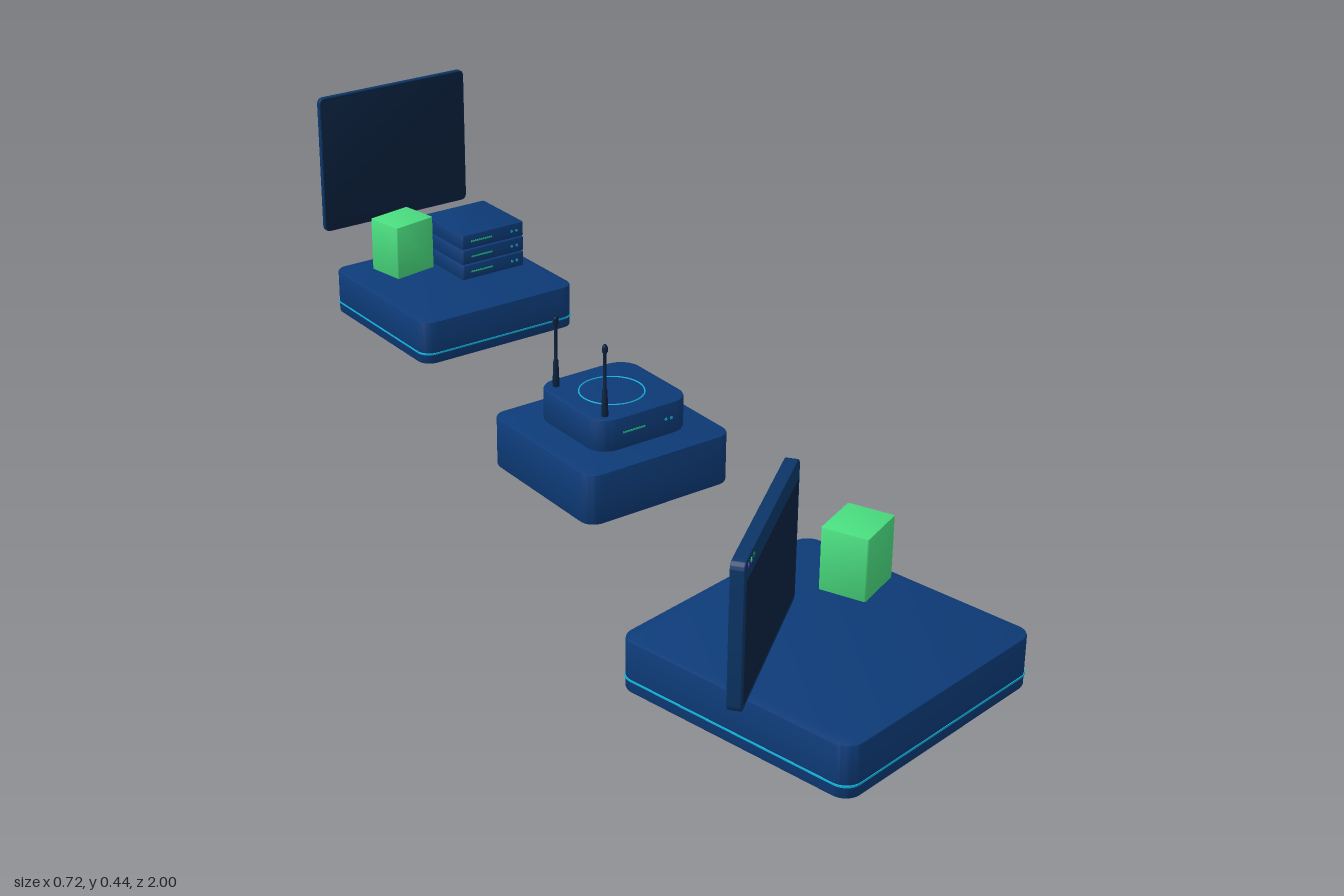
import * as THREE from 'three';
import { toCreasedNormals } from 'three/addons/utils/BufferGeometryUtils.js';

const paint = (color) => new THREE.MeshStandardMaterial({ color });
const blue = paint(0x0d3b78), navy = paint(0x0a2240), screenBlue = paint(0x0b3566);
const green = paint(0x4ade80), cyan = paint(0x12b4dc), led = paint(0x22c58a);
const purple = paint(0x7a22b8), darkGreen = paint(0x15803d);

// Rounded plate facing +z, centred on the origin
function plateGeometry(w, h, t, r, bevel = 0.002) {
  const x = w / 2 - bevel, y = h / 2 - bevel, s = new THREE.Shape();
  s.absarc(x - r, y - r, r, 0, Math.PI / 2);
  s.absarc(-x + r, y - r, r, Math.PI / 2, Math.PI);
  s.absarc(-x + r, -y + r, r, Math.PI, Math.PI * 1.5);
  s.absarc(x - r, -y + r, r, Math.PI * 1.5, Math.PI * 2);
  s.closePath();
  const g = new THREE.ExtrudeGeometry(s, {
    depth: t - 2 * bevel, bevelSize: bevel, bevelThickness: bevel, bevelSegments: 2, curveSegments: 6,
  });
  g.translate(0, 0, -t / 2 + bevel);
  return toCreasedNormals(g, 0.6);
}

function add(parent, name, geometry, material, x = 0, y = 0, z = 0) {
  const m = new THREE.Mesh(geometry, material);
  m.name = name;
  m.position.set(x, y, z);
  parent.add(m);
  return m;
}

// Rounded block lying flat, standing on height y
function slab(parent, name, w, h, d, r, material, x, y, z, bevel) {
  return add(parent, name, plateGeometry(w, d, h, r, bevel).rotateX(-Math.PI / 2), material, x, y + h / 2, z);
}

function station(parent, name, x, z, turn, size, height, stripe) {
  const g = new THREE.Group();
  g.name = name;
  g.position.set(x, 0, z);
  g.rotation.y = turn;
  parent.add(g);
  slab(g, name + 'Base', size, height, size, 0.025, blue, 0, 0, 0, 0.003);
  if (stripe) slab(g, name + 'GlowStripe', size + 0.002, 0.004, size + 0.002, 0.026, cyan, 0, 0.019, 0, 0.001);
  return g;
}

// Green code block
function codeBlock(parent, x, y, z, turn) {
  slab(parent, 'codeBlock', 0.094, 0.108, 0.08, 0.002, green, x, y, z, 0.001).rotation.y = turn;
}

// Status bar and dots on a face looking along +z
function statusLights(parent, width, y, z) {
  add(parent, 'statusBar', new THREE.BoxGeometry(width * 0.34, 0.003, 0.002), led, -width * 0.19, y, z);
  for (const k of [0.3, 0.38]) {
    const dot = new THREE.CylinderGeometry(0.003, 0.003, 0.002, 10).rotateX(Math.PI / 2);
    add(parent, 'statusDot', dot, cyan, width * k, y, z);
  }
}

function buildClient(root) {
  station(root, 'client', -0.105, 0.742, 0.19, 0.441, 0.088, true);
  const monitor = new THREE.Group();
  monitor.name = 'clientMonitor';
  monitor.position.set(-0.221, 0.212, 0.732);
  monitor.rotation.y = 0.66;
  root.add(monitor);
  add(monitor, 'monitorFrame', plateGeometry(0.345, 0.243, 0.022, 0.012), screenBlue);
  add(monitor, 'monitorScreen', new THREE.BoxGeometry(0.325, 0.202, 0.002), navy, 0, -0.01, 0.011);
  [purple, led, darkGreen].forEach((mat, i) => {
    const dot = new THREE.CylinderGeometry(0.004, 0.004, 0.002, 14).rotateX(Math.PI / 2);
    add(monitor, 'windowDot', dot, mat, -0.152 + i * 0.016, 0.11, 0.011);
  });
  codeBlock(root, 0.014, 0.102, 0.668, 0.41);
}

function buildNetwork(root) {
  const g = station(root, 'network', 0.041, -0.019, 0, 0.306, 0.095, false);
  slab(g, 'routerBody', 0.198, 0.061, 0.198, 0.035, blue, 0.005, 0.097, 0, 0.004);
  const ring = add(g, 'routerRing', new THREE.TorusGeometry(0.058, 0.0015, 6, 48), cyan, 0.002, 0.158, 0);
  ring.rotation.x = Math.PI / 2;

  // Lights on the front and the left side
  for (const turn of [0, Math.PI / 2]) {
    const face = new THREE.Group();
    face.name = 'routerLights';
    face.position.set(0.005, 0, 0);
    face.rotation.y = turn;
    g.add(face);
    statusLights(face, 0.14, 0.129, 0.099);
  }

  // Two antennas with thick sleeves and round tips
  const profile = [[0, 0], [0.006, 0], [0.006, 0.012], [0.0045, 0.05], [0.003, 0.054], [0.003, 0.118],
    [0.005, 0.121], [0.005, 0.13], [0.003, 0.134], [0, 0.134]].map(([r, y]) => new THREE.Vector2(r, y));
  for (const z of [-0.072, 0.076]) {
    add(g, 'antenna', toCreasedNormals(new THREE.LatheGeometry(profile, 14), 0.6), navy, -0.067, 0.157, z);
  }
}

function buildServer(root) {
  station(root, 'server', 0.183, -0.768, 0, 0.354, 0.088, true);
  // Stacked server units
  for (let i = 0; i < 3; i++) {
    const unit = new THREE.Group();
    unit.name = 'serverUnit';
    unit.position.set(0.257, 0.091 + i * 0.0325, -0.806);
    root.add(unit);
    slab(unit, 'serverCase', 0.147, 0.03, 0.15, 0.003, blue, 0, 0, 0);
    statusLights(unit, 0.147, 0.015, 0.075);
  }
  codeBlock(root, 0.095, 0.112, -0.815, 0.17);
  // Floating display behind the base
  add(root, 'serverDisplay', plateGeometry(0.34, 0.285, 0.011, 0.01), screenBlue, 0.186, 0.2925, -0.9945);
  add(root, 'serverDisplayScreen', plateGeometry(0.336, 0.281, 0.002, 0.009, 0.0005), navy, 0.186, 0.2925, -0.989);
}

export function createModel() {
  const root = new THREE.Group();
  root.name = 'clientServerNetwork';
  buildClient(root);
  buildNetwork(root);
  buildServer(root);
  return root;
}
